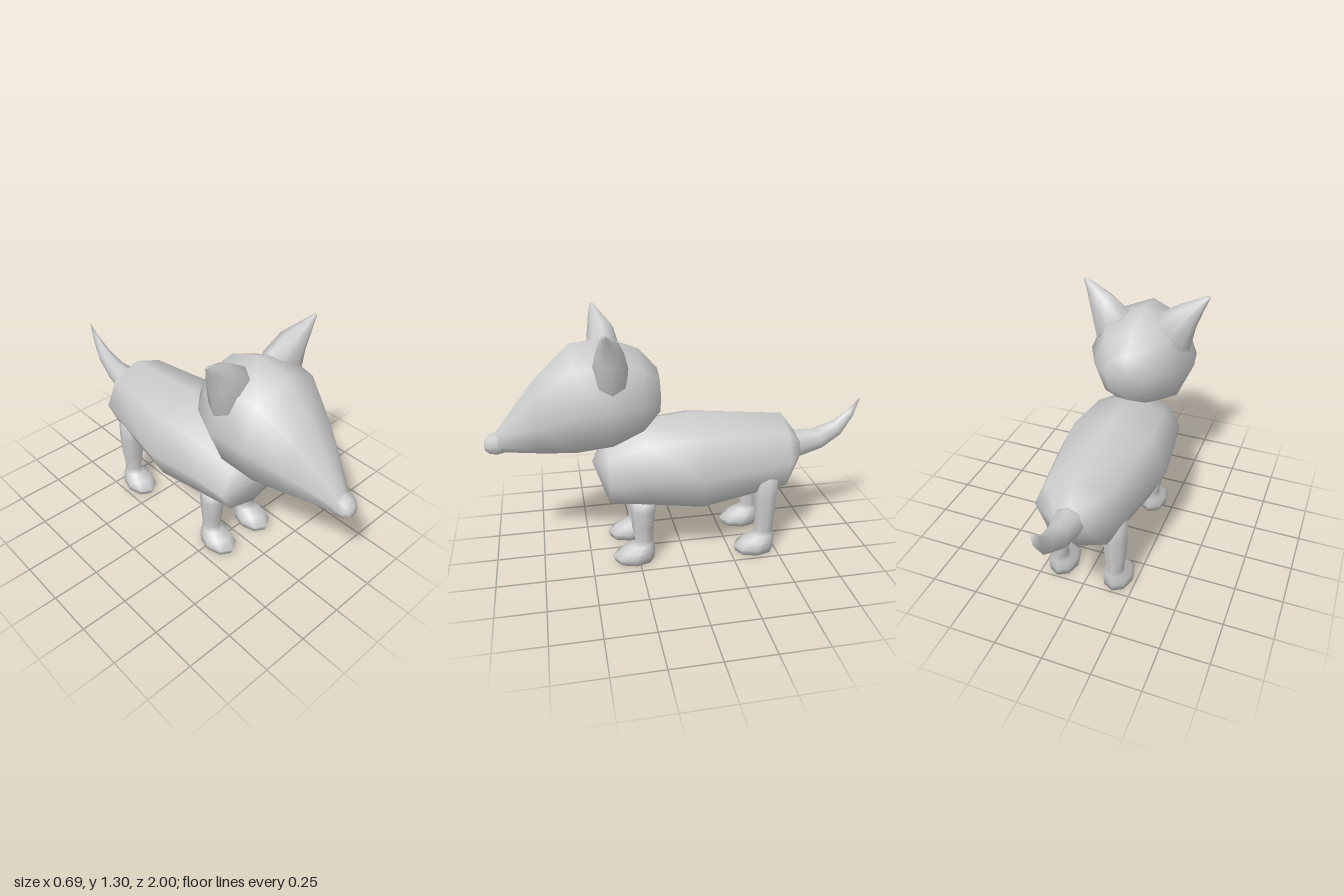
import * as THREE from 'three';

const V = (x, y, z) => new THREE.Vector3(x, y, z);

// Skin through elliptical rings { c, a, b }; a x b points along the path.
// Each end closes to a tip point (or to the ring's centre).
function loft(rings, startTip, endTip, sides = 8) {
  const pos = [], idx = [];
  for (const { c, a, b } of rings) {
    for (let i = 0; i < sides; i++) {
      const t = (i / sides) * Math.PI * 2;
      const p = c.clone().addScaledVector(a, Math.cos(t)).addScaledVector(b, Math.sin(t));
      pos.push(p.x, p.y, p.z);
    }
  }
  const last = (rings.length - 1) * sides, s = rings.length * sides, e = s + 1;
  for (const p of [startTip ?? rings[0].c, endTip ?? rings.at(-1).c]) pos.push(p.x, p.y, p.z);
  for (let i = 0; i < sides; i++) {
    const n = (i + 1) % sides;
    for (let r = 0; r < last; r += sides) {
      idx.push(r + i, r + n, r + sides + n, r + i, r + sides + n, r + sides + i);
    }
    idx.push(s, n, i, e, last + i, last + n);
  }
  const g = new THREE.BufferGeometry();
  g.setAttribute('position', new THREE.Float32BufferAttribute(pos, 3));
  g.setIndex(idx);
  g.computeVertexNormals();
  return g;
}

// Ring facing +z: position, half width, bottom and top heights
const zRing = ([z, w, y0, y1]) => ({
  c: V(0, (y0 + y1) / 2, z), a: V(w, 0, 0), b: V(0, (y1 - y0) / 2, 0),
});

export function createModel() {
  const group = new THREE.Group();
  const grey = new THREE.MeshStandardMaterial({ color: 0xcccccc });
  grey.name = 'grey';
  const add = (name, geometry) => {
    const mesh = new THREE.Mesh(geometry, grey);
    mesh.name = name;
    group.add(mesh);
    return mesh;
  };

  // Body, from rump to chest
  add('body', loft([
    [-0.645, 0.09, 0.46, 0.61],
    [-0.55, 0.22, 0.32, 0.735],
    [-0.08, 0.3, 0.25, 0.78],
    [0.2, 0.265, 0.29, 0.755],
    [0.395, 0.23, 0.32, 0.665],
  ].map(zRing), V(0, 0.54, -0.66), V(0, 0.54, 0.468)));

  // Head, from the nape to the tip of the snout
  add('head', loft([
    [0.118, 0.12, 0.79, 1.03],
    [0.21, 0.215, 0.69, 1.135],
    [0.37, 0.295, 0.625, 1.2],
    [0.55, 0.262, 0.595, 1.18],
    [0.73, 0.17, 0.61, 1.01],
    [0.93, 0.055, 0.635, 0.755],
  ].map(zRing), V(0, 0.92, 0.104), V(0, 0.69, 0.96)));

  // Nose
  add('nose', loft([
    [0.89, 0.045, 0.635, 0.72],
    [0.93, 0.064, 0.625, 0.748],
    [0.97, 0.055, 0.63, 0.735],
    [0.995, 0.03, 0.65, 0.705],
  ].map(zRing), null, V(0, 0.678, 1)));

  // Ears: inner edge, outer edge, depth centre, half depth
  for (const s of [1, -1]) {
    const rings = [
      [0.085, 1.14, 0.24, 0.99, 0.37, 0.07],
      [0.075, 1.17, 0.265, 0.99, 0.37, 0.09],
      [0.18, 1.24, 0.29, 1.13, 0.375, 0.068],
      [0.265, 1.275, 0.322, 1.225, 0.395, 0.034],
      [0.33, 1.3, 0.347, 1.288, 0.407, 0.009],
    ].map(([x0, y0, x1, y1, z, d]) => ({
      c: V(s * (x0 + x1) / 2, (y0 + y1) / 2, z),
      a: V(s * (x1 - x0) / 2, (y1 - y0) / 2, 0),
      b: V(0, 0, -s * d),
    }));
    add(s > 0 ? 'leftEar' : 'rightEar', loft(rings, null, V(s * 0.344, 1.3, 0.408)));
  }

  // Tail: upper edge (z, y), lower edge (z, y), half width
  add('tail', loft([
    [-0.605, 0.635, -0.62, 0.475, 0.07],
    [-0.64, 0.627, -0.66, 0.475, 0.08],
    [-0.75, 0.628, -0.79, 0.51, 0.058],
    [-0.85, 0.665, -0.9, 0.58, 0.038],
    [-0.935, 0.725, -0.965, 0.68, 0.017],
  ].map(([z0, y0, z1, y1, w]) => ({
    c: V(0, (y0 + y1) / 2, (z0 + z1) / 2),
    a: V(w, 0, 0),
    b: V(0, (y1 - y0) / 2, (z1 - z0) / 2),
  })), null, V(0, 0.79, -1)));

  // Legs with paws: height, half width, depth centre, half depth
  const paw = [
    [0, 0.074, 0.052, 0.105],
    [0.035, 0.082, 0.057, 0.113],
    [0.07, 0.074, 0.033, 0.09],
    [0.095, 0.052, 0.008, 0.06],
    [0.125, 0.043, 0, 0.05],
  ];
  const leg = (name, x, z, shin) => add(name, loft([...paw, ...shin].map(([y, w, dz, d]) => ({
    c: V(x, y, z + dz), a: V(w, 0, 0), b: V(0, 0, -d),
  }))));
  const frontShin = [[0.2, 0.056, 0.005, 0.058], [0.3, 0.06, 0.003, 0.067], [0.36, 0.057, 0, 0.07]];
  const rearShin = [[0.22, 0.06, 0, 0.058], [0.34, 0.066, 0, 0.064], [0.43, 0.064, 0, 0.068], [0.462, 0.035, 0, 0.035]];
  for (const s of [1, -1]) {
    const side = s > 0 ? 'left' : 'right';
    leg(side + 'FrontLeg', s * 0.13, 0.22, frontShin);
    leg(side + 'RearLeg', s * 0.155, -0.437, rearShin);
  }

  return group;
}
